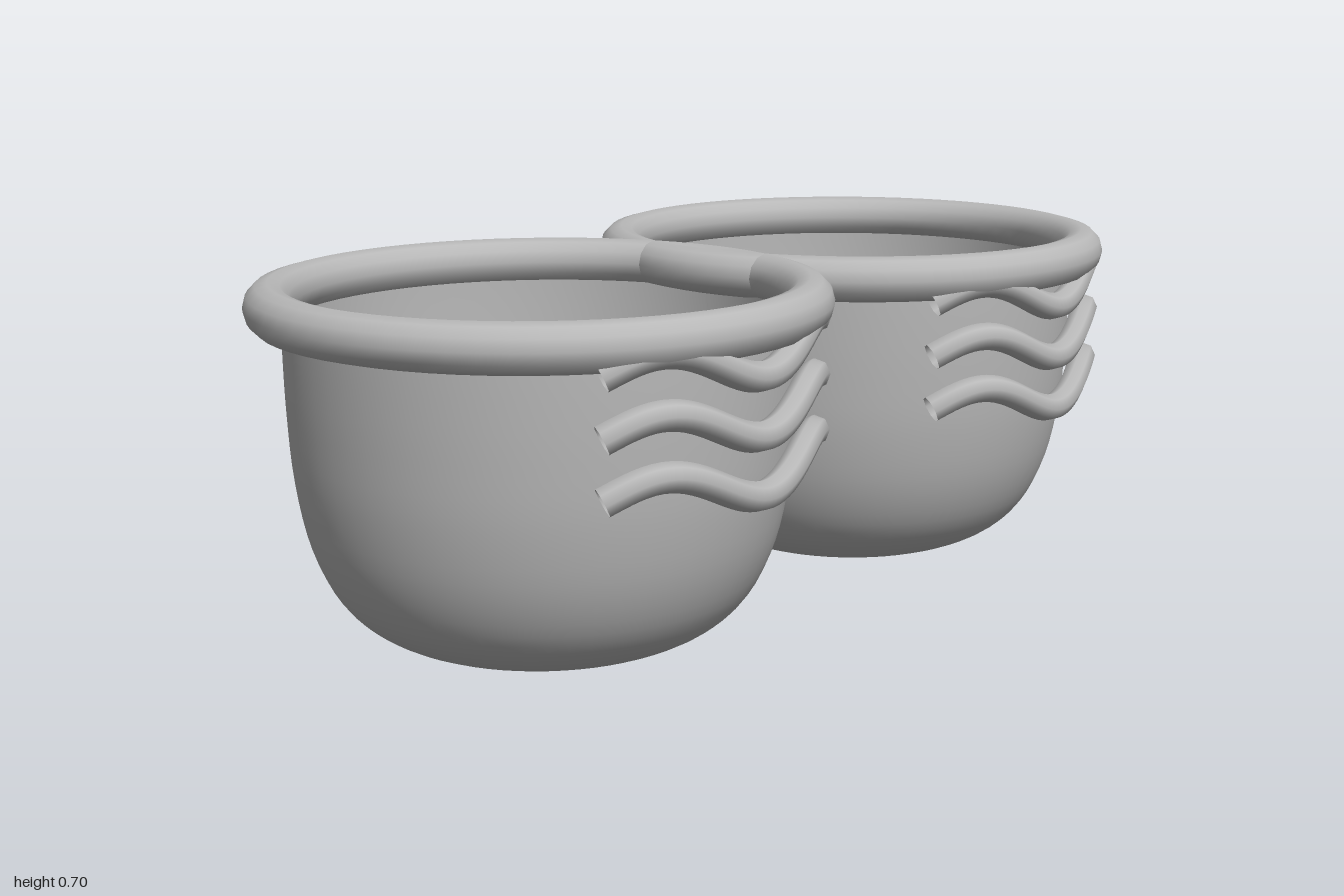
import * as THREE from 'three';

const CUP_X = 0.467;

// Wavy ridge wrapped round the front of a cup
class WaveCurve extends THREE.Curve {
  constructor(y) {
    super();
    this.y = y;
  }
  getPoint(t, target = new THREE.Vector3()) {
    const angle = (t - 0.5) * 1.2;
    return target.set(
      0.5 * Math.sin(angle),
      this.y + 0.033 * Math.sin(t * 2.75 * Math.PI),
      0.5 * Math.cos(angle)
    );
  }
}

export function createModel() {
  const grey = new THREE.MeshStandardMaterial({ color: 0xb8b8b8, side: THREE.DoubleSide });
  grey.name = 'plain grey';

  // Thin bowl wall, from the centre of the base up into the rim
  const profile = new THREE.SplineCurve([
    [0, 0], [0.12, 0.005], [0.23, 0.02], [0.32, 0.055], [0.385, 0.115],
    [0.43, 0.21], [0.455, 0.33], [0.464, 0.45], [0.467, 0.56], [0.467, 0.65],
  ].map(([x, y]) => new THREE.Vector2(x, y))).getPoints(36);
  profile.forEach((p) => { p.x = Math.max(0, p.x); p.y = Math.max(0, p.y); });

  const bowlGeometry = new THREE.LatheGeometry(profile, 64);
  const rimGeometry = new THREE.TorusGeometry(0.489, 0.0445, 12, 64).rotateX(Math.PI / 2);
  const ridgeGeometries = [0.394, 0.498, 0.602].map(
    (y) => new THREE.TubeGeometry(new WaveCurve(y), 40, 0.027, 8, false)
  );

  const model = new THREE.Group();
  model.name = 'twinCups';

  // Two identical cups side by side
  for (const [side, x] of [['left', CUP_X], ['right', -CUP_X]]) {
    const cup = new THREE.Group();
    cup.name = `${side}Cup`;
    cup.position.x = x;
    const add = (name, geometry) => {
      const mesh = new THREE.Mesh(geometry, grey);
      mesh.name = name;
      cup.add(mesh);
      return mesh;
    };
    add('bowl', bowlGeometry);
    add('rim', rimGeometry).position.y = 0.651;
    ridgeGeometries.forEach((geometry, i) => add(`waveRidge${i + 1}`, geometry));
    model.add(cup);
  }
  return model;
}
